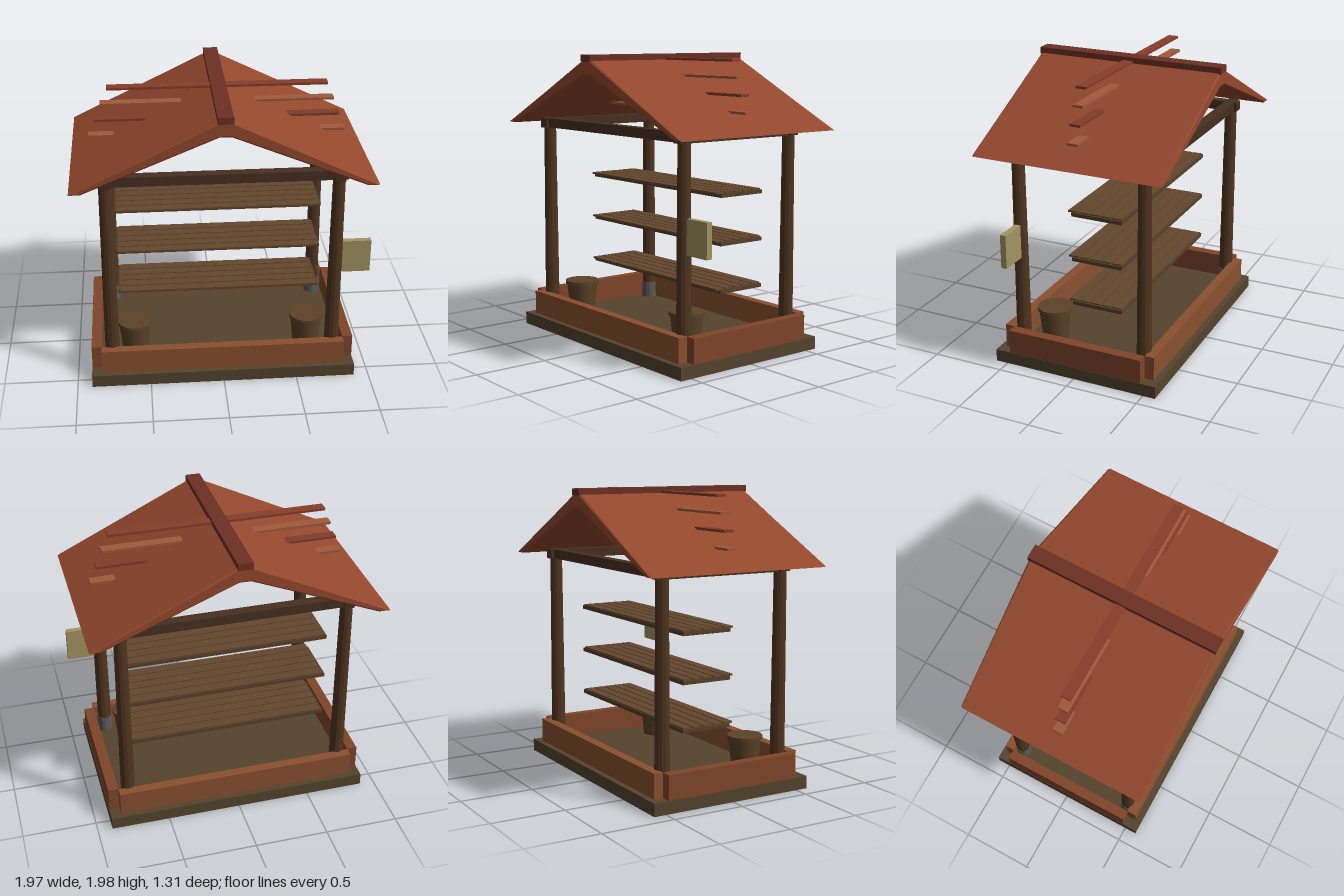
import * as THREE from 'three';

const mat = (color, flatShading = false) => new THREE.MeshStandardMaterial({ color, flatShading });

const M = {
  base: mat(0x54432d), wall: mat(0x8a5030), sideWall: mat(0x80452a),
  post: mat(0x50351f, true), footing: mat(0x5c5a58, true), beam: mat(0x463020),
  shelf: mat(0x57402b), slat: mat(0x64482e), pot: mat(0x5c4328), sign: mat(0xa39462),
  roof: mat(0x94482d), ridge: mat(0x6d3124),
};

export function createModel() {
  const model = new THREE.Group();
  model.name = 'gardenShelter';

  const add = (name, geometry, material, x, y, z, parent = model) => {
    const mesh = new THREE.Mesh(geometry, material);
    mesh.name = name;
    mesh.position.set(x, y, z);
    parent.add(mesh);
    return mesh;
  };
  // Box given by its min and max on each axis
  const box = (name, material, [x0, x1], [y0, y1], [z0, z1], parent) =>
    add(name, new THREE.BoxGeometry(x1 - x0, y1 - y0, z1 - z0), material,
      (x0 + x1) / 2, (y0 + y1) / 2, (z0 + z1) / 2, parent);
  const cyl = (name, material, rTop, rBottom, y0, y1, x, z, sides, parent) =>
    add(name, new THREE.CylinderGeometry(rTop, rBottom, y1 - y0, sides), material,
      x, (y0 + y1) / 2, z, parent);

  // Floor slab and low walls, notched at the corners
  box('floorSlab', M.base, [-0.9, 0.9], [0, 0.085], [-0.585, 0.585]);
  for (const s of [-1, 1]) {
    const end = s > 0 ? 'front' : 'back', side = s > 0 ? 'left' : 'right';
    const zc = s * 0.5125, xc = s * 0.8625;
    box(end + 'Wall', M.wall, [-0.828, 0.828], [0.085, 0.25], [zc - 0.0325, zc + 0.0325]);
    box(side + 'Wall', M.sideWall, [xc - 0.035, xc + 0.035], [0.085, 0.25], [-0.48, 0.48]);

    // Top beams crossing over the posts
    const zb = s * 0.445, xb = s * 0.755;
    box(end + 'Beam', M.beam, [-0.81, 0.81], [1.45, 1.515], [zb - 0.035, zb + 0.035]);
    box(side + 'Beam', M.beam, [xb - 0.035, xb + 0.035], [1.447, 1.512], [-0.5, 0.5]);

    // Tapered corner posts on footings
    for (const t of [-1, 1]) {
      cyl('post', M.post, 0.042, 0.05, 0.085, 1.46, xb, t * 0.445, 12);
      cyl('footing', M.footing, 0.053, 0.055, 0.085, 0.2, xb, t * 0.445, 12);
    }

    // Flower pots by the front corners
    const pot = new THREE.Group();
    pot.name = side + 'Pot';
    model.add(pot);
    cyl('potBody', M.pot, 0.11, 0.085, 0.085, 0.32, s * 0.598, 0.29, 20, pot);
    cyl('potRim', M.pot, 0.118, 0.118, 0.315, 0.34, s * 0.598, 0.29, 20, pot);
  }

  // Three slatted shelves
  for (const y of [0.44, 0.755, 1.07]) {
    const shelf = new THREE.Group();
    shelf.name = 'shelf';
    model.add(shelf);
    box('shelfBoard', M.shelf, [-0.705, 0.705], [y, y + 0.025], [-0.26, 0.095], shelf);
    for (let i = 0; i < 5; i++) {
      const z = 0.09 - i * 0.0775;
      box('shelfSlat', M.slat, [-0.692, 0.692], [y + 0.022, y + 0.034], [z - 0.034, z + 0.034], shelf);
    }
  }

  // Sign board beside the front left post
  box('signBoard', M.sign, [0.8, 0.99], [0.755, 0.985], [0.42, 0.46]);

  // Gabled roof: one bevelled profile along z
  const b = 0.01;
  const half = [[0.04, 1.93], [0.965, 1.487], [0.905, 1.493], [0.04, 1.85]];
  const outline = [...half.map(([x, y]) => [-x, y]), ...half.slice().reverse()];
  const shape = new THREE.Shape(outline.map(([x, y]) => new THREE.Vector2(x, y)));
  const roof = new THREE.ExtrudeGeometry(shape, {
    depth: 1.3 - 2 * b, bevelEnabled: true, bevelSize: b, bevelThickness: b, bevelSegments: 1,
  });
  add('roof', roof, M.roof, 0, 0, -0.65 + b);
  box('ridgeCap', M.ridge, [-0.05, 0.05], [1.93, 1.975], [-0.655, 0.655]);

  // Level battens running through both roof slopes
  [[1.615, 0.858, 0xa05a3a], [1.725, 0.815, 0x823c2a], [1.835, 0.772, 0xa05a3a], [1.943, 0.727, 0x863e2a]]
    .forEach(([y, x, color]) =>
      box('roofBatten', mat(color), [-x, x], [y - 0.008, y + 0.008], [-0.035, 0.035]));

  return model;
}
